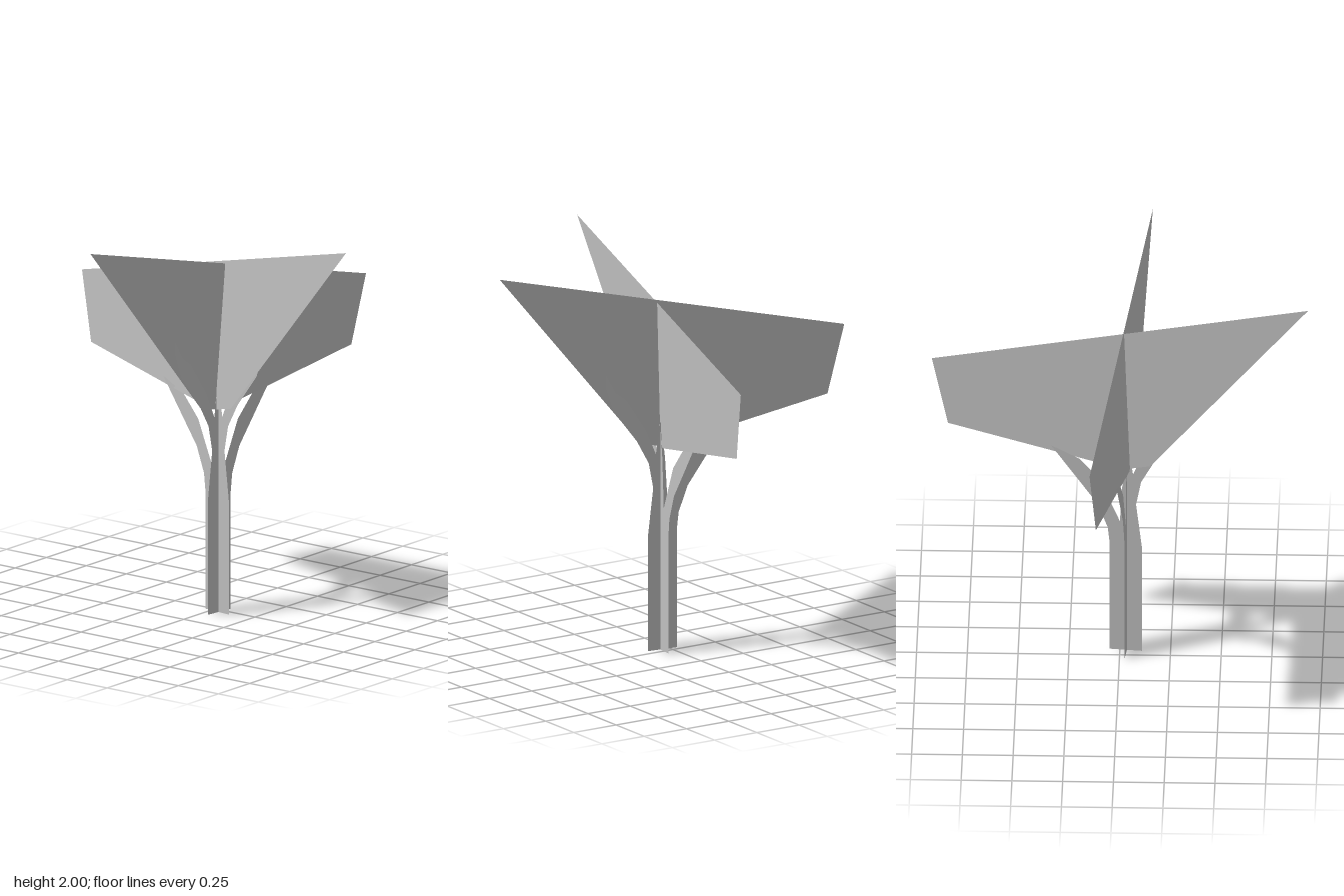
import * as THREE from 'three';

// Outlines as (across, height) points
const FOLIAGE = [
  [-0.93, 1.55], [-0.85, 1.2], [0.02, 1.03], [0.15, 1.06], [0.93, 2.0],
];
const TRUNK = [
  [-0.04, 0], [0.12, 0], [0.12, 0.58], [0.09, 0.83], [0.115, 0.96], [0.18, 1.08],
  [0.31, 1.25], [0.35, 1.37], [0.35, 1.44], [0.295, 1.34], [0.24, 1.3], [0.13, 1.13],
  [0.075, 1.0], [0.05, 1.17], [0.025, 0.98], [0.01, 0.73], [-0.09, 0.96],
  [-0.19, 1.07], [-0.33, 1.135], [-0.1, 0.82], [-0.05, 0.69], [-0.04, 0.6],
];

// The line where the two cards cross; the foliage leans, the trunk is upright
const foliageAxis = (y) => [0.04 + 0.053 * (y - 1.03), 0.05 - 0.04 * (y - 1.03)];
const trunkAxis = () => [0.05, 0.035];

// A flat card running mostly along x, or mostly along z when turned
function card(name, outline, axis, slope, turned, shift, material) {
  const shape = new THREE.Shape(outline.map(([u, y]) => new THREE.Vector2(u, y)));
  const geometry = new THREE.ShapeGeometry(shape);
  const p = geometry.attributes.position;
  for (let i = 0; i < p.count; i++) {
    const u = p.getX(i) + shift;
    const y = p.getY(i);
    const [ax, az] = axis(y);
    if (turned) p.setXYZ(i, ax - slope * (u - az), y, u);
    else p.setXYZ(i, u, y, az + slope * (u - ax));
  }
  geometry.computeVertexNormals();
  const mesh = new THREE.Mesh(geometry, material);
  mesh.name = name;
  return mesh;
}

export function createModel() {
  const grey = new THREE.MeshStandardMaterial({ color: 0xc0c0c0, side: THREE.DoubleSide });
  grey.name = 'light grey';

  const tree = new THREE.Group();
  tree.name = 'tree';

  // Two crossed cards each for the trunk with branches and for the foliage
  for (const turned of [false, true]) {
    const side = turned ? 'Lengthwise' : 'Crosswise';
    tree.add(card('trunk' + side, TRUNK, trunkAxis, 0.11, turned, turned ? -0.01 : 0, grey));
    tree.add(card('foliage' + side, FOLIAGE, foliageAxis, 0.155, turned, 0, grey));
  }
  return tree;
}
